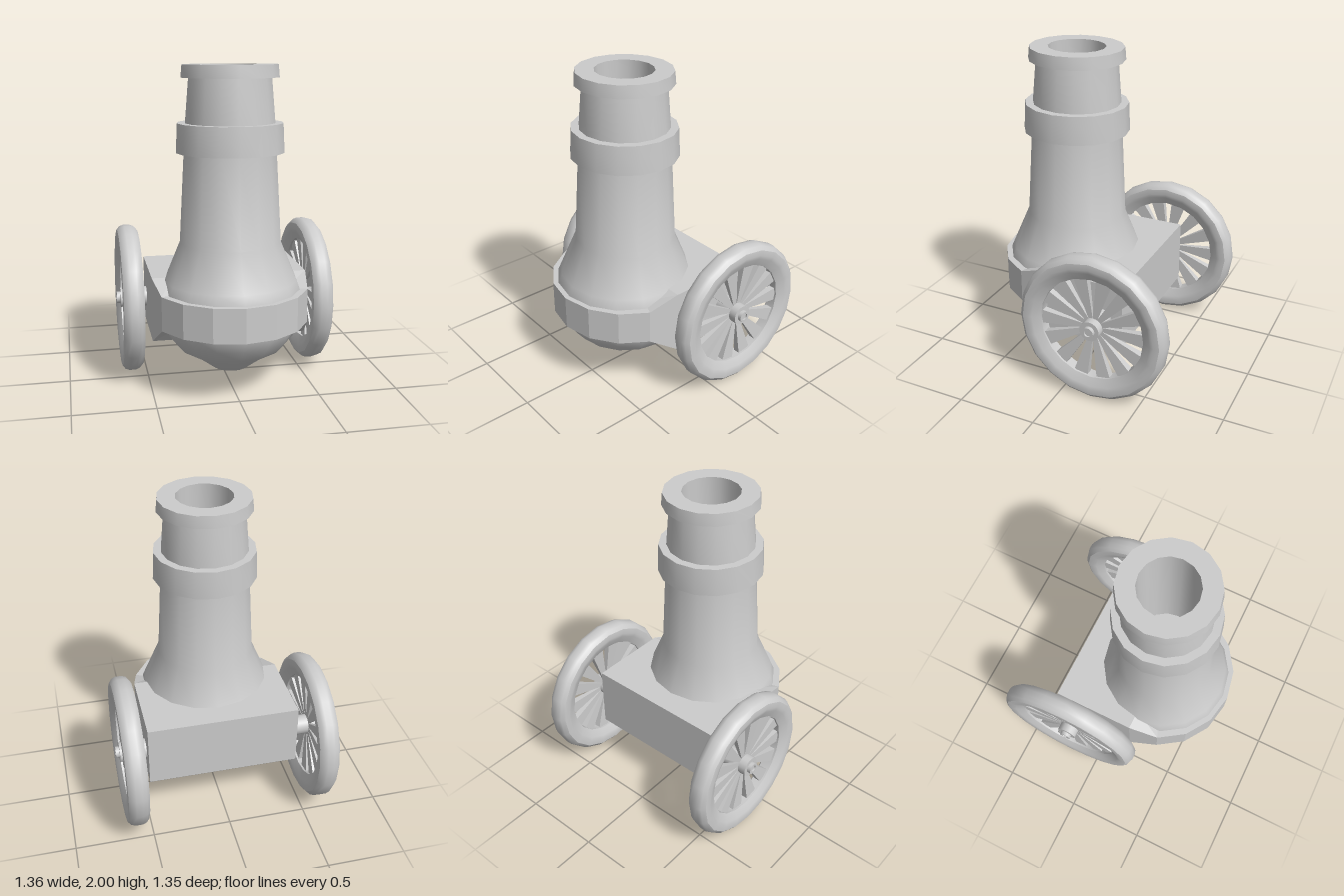
import * as THREE from 'three';
import { toCreasedNormals } from 'three/addons/utils/BufferGeometryUtils.js';

const material = new THREE.MeshStandardMaterial({ color: 0xcccccc });

function addMesh(parent, name, geometry) {
  const mesh = new THREE.Mesh(geometry, material);
  mesh.name = name;
  parent.add(mesh);
  return mesh;
}

// Faceted solid of revolution, smooth around and sharp at the steps
function turned(profile, segments) {
  const points = profile.map(([r, y]) => new THREE.Vector2(r, y));
  return toCreasedNormals(new THREE.LatheGeometry(points, segments), 0.6);
}

// Rounded half-ring wrapped around the belly, tapering from the deep rear box to a shallow band
function collarGeometry() {
  const radius = 0.485, inner = 0.74, steps = 8, zCentre = 0.19;
  const positions = [];
  const quad = (a, b, c, d) => positions.push(...a, ...b, ...c, ...a, ...c, ...d);
  const corner = (i, scale, top) => {
    const angle = (i / steps) * Math.PI;
    const end = i === 0 || i === steps;
    const y = top ? (end ? 0.715 : 0.65) : (end ? 0.31 : 0.437);
    return [radius * scale * Math.cos(angle), y, zCentre + radius * scale * Math.sin(angle)];
  };
  for (let i = 0; i < steps; i++) {
    const j = i + 1;
    quad(corner(j, 1, false), corner(i, 1, false), corner(i, 1, true), corner(j, 1, true));
    quad(corner(i, 1, true), corner(i, inner, true), corner(j, inner, true), corner(j, 1, true));
    quad(corner(j, 1, false), corner(j, inner, false), corner(i, inner, false), corner(i, 1, false));
  }
  const geometry = new THREE.BufferGeometry();
  geometry.setAttribute('position', new THREE.Float32BufferAttribute(positions, 3));
  geometry.computeVertexNormals();
  return geometry;
}

// Wheel built around +y, then laid over so its outer face looks along +x
function createWheel(name) {
  const wheel = new THREE.Group();
  wheel.name = name;
  const body = new THREE.Group();
  body.rotation.z = -Math.PI / 2;
  body.position.x = 0.597;
  wheel.add(body);

  addMesh(body, 'rim', turned([
    [0.335, -0.035], [0.385, -0.06], [0.41, -0.067], [0.445, -0.064], [0.468, -0.045],
    [0.477, -0.02], [0.477, 0.02], [0.468, 0.045], [0.445, 0.064], [0.41, 0.067],
    [0.385, 0.06], [0.335, 0.035], [0.335, -0.035],
  ], 20));

  // Wedge-shaped spokes, widening towards the rim
  const count = 14;
  const spokeGeometry = new THREE.CylinderGeometry(0.066, 0.016, 0.31, 4, 1).toNonIndexed();
  spokeGeometry.rotateY(Math.PI / 4);
  spokeGeometry.scale(1, 1, 0.5);
  spokeGeometry.translate(0, 0.195, 0);
  spokeGeometry.rotateX(Math.PI / 2);
  spokeGeometry.computeVertexNormals();
  for (let i = 0; i < count; i++) {
    addMesh(body, 'spoke', spokeGeometry).rotation.y = (i / count) * Math.PI * 2;
  }

  // Axle stub, hub and recessed end cap
  addMesh(body, 'hub', turned([
    [0.064, -0.2], [0.064, 0.058], [0.037, 0.058], [0.037, 0.081],
    [0.022, 0.081], [0.022, 0.07], [0, 0.07],
  ], 16));
  return wheel;
}

export function createModel() {
  const model = new THREE.Group();
  model.name = 'mortar';

  // Barrel with rounded base, flared belly, reinforcing band, muzzle lip and bore
  const barrel = addMesh(model, 'barrel', turned([
    [0, 0.11], [0.11, 0.13], [0.19, 0.19], [0.21, 0.205], [0.33, 0.275],
    [0.39, 0.35], [0.435, 0.44], [0.435, 0.64], [0.41, 0.7], [0.312, 0.935],
    [0.282, 1.48], [0.328, 1.48], [0.32, 1.655], [0.272, 1.655], [0.25, 1.92],
    [0.295, 1.92], [0.288, 1.996], [0.176, 1.996], [0.176, 1.2], [0, 1.2],
  ], 16));
  barrel.position.z = 0.22;
  barrel.rotation.x = -0.015;

  // Carriage
  const box = addMesh(model, 'carriageBox', new THREE.BoxGeometry(0.97, 0.405, 0.525));
  box.position.set(0, 0.5125, -0.0725);
  addMesh(model, 'carriageCollar', collarGeometry());

  // Wheels on both sides
  for (const side of [1, -1]) {
    const wheel = createWheel(side > 0 ? 'leftWheel' : 'rightWheel');
    wheel.position.set(0, 0.482, -0.2);
    if (side < 0) wheel.rotation.y = Math.PI;
    model.add(wheel);
  }
  return model;
}
